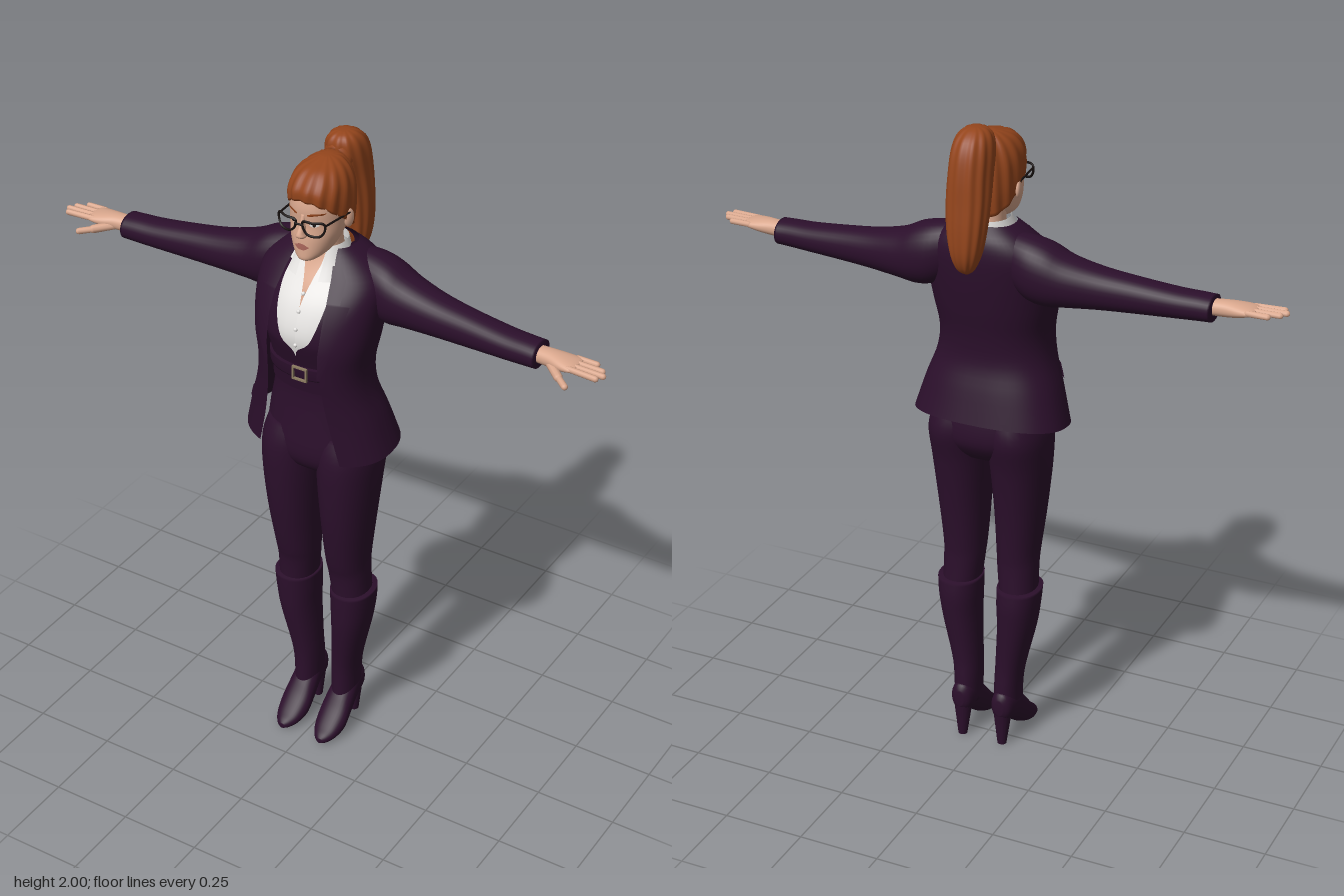
import * as THREE from 'three';

const mat = (name, color, side = THREE.FrontSide) => {
  const m = new THREE.MeshStandardMaterial({ color, side });
  m.name = name;
  return m;
};

// Smoothly subdivide cross-section rows: [along, centreU, radiusU, vFront, vBack, gap, dip]
function smooth(rows, sub = 4) {
  const out = [], n = rows.length;
  const at = (i, k) => rows[Math.min(n - 1, Math.max(0, i))][k] || 0;
  for (let i = 0; i < n - 1; i++) for (let s = 0; s < sub + (i === n - 2 ? 1 : 0); s++) {
    const t = s / sub, r = [];
    for (let k = 0; k < 7; k++) {
      const [a, b, c, d] = [at(i - 1, k), at(i, k), at(i + 1, k), at(i + 2, k)];
      r.push(0.5 * (2 * b + (c - a) * t + (2 * a - 5 * b + 4 * c - d) * t * t + (3 * b - a - 3 * c + d) * t * t * t));
    }
    out.push(r);
  }
  return out;
}

const AXES = { y: (a, u, v) => [u, a, v], x: (a, u, v) => [a, v, u], z: (a, u, v) => [v, u, a] };

function toGeometry(pos, idx) {
  const g = new THREE.BufferGeometry();
  g.setAttribute('position', new THREE.Float32BufferAttribute(pos, 3));
  g.setIndex(idx);
  g.computeVertexNormals();
  return g;
}

// Skin a stack of superellipse rings; open leaves a front gap of half-width row[5]
function loft(rows, { axis = 'y', n = 2.2, seg = 32, open = false, cap = !open, ridges = 0 } = {}) {
  const R = smooth(rows), pos = [], idx = [], cols = open ? seg + 1 : seg, P = AXES[axis];
  for (const [a, cu, ru, vf, vb, gap, dip] of R) {
    const t0 = open ? Math.asin(Math.min(1, Math.pow(Math.max(0, gap) / ru, n / 2))) : 0;
    for (let j = 0; j < cols; j++) {
      const t = t0 + (2 * Math.PI - 2 * t0) * j / seg, s = Math.sin(t), c = Math.cos(t);
      const k = 1 + (ridges ? 0.035 * Math.sin(ridges * t) : 0), e = 2 / n;
      pos.push(...P(a + dip * c, cu + k * ru * Math.sign(s) * Math.abs(s) ** e,
        (vf + vb) / 2 + k * (vf - vb) / 2 * Math.sign(c) * Math.abs(c) ** e));
    }
  }
  for (let i = 0; i < R.length - 1; i++) for (let j = 0; j < seg; j++) {
    const q = (j + 1) % cols, a = i * cols + j, b = i * cols + q;
    idx.push(a, b, b + cols, a, b + cols, a + cols);
  }
  if (cap) for (const [i, flip] of [[0, true], [R.length - 1, false]]) {
    const r = R[i], m = pos.length / 3;
    pos.push(...P(r[0], r[1], (r[3] + r[4]) / 2));
    for (let j = 0; j < seg; j++) {
      const a = i * cols + j, b = i * cols + (j + 1) % cols;
      flip ? idx.push(b, a, m) : idx.push(a, b, m);
    }
  }
  return toGeometry(pos, idx);
}

// Depth of the front of a lofted body at x, y
function frontZ(rows, x, y, n = 2.2) {
  const R = smooth(rows, 8);
  let i = 0;
  while (i < R.length - 2 && R[i + 1][0] < y) i++;
  const t = (y - R[i][0]) / (R[i + 1][0] - R[i][0]);
  const [, , ru, vf, vb] = R[i].map((v, k) => v + (R[i + 1][k] - v) * t);
  const f = Math.max(0, 1 - Math.min(1, Math.abs(x) / ru) ** n) ** (1 / n);
  return (vf + vb) / 2 + (vf - vb) / 2 * f;
}

// Thin panel lying on the front of a body; outline rows are [y, xFrom, xTo]
function patch(body, outline, off, n) {
  const pos = [], idx = [], S = 8;
  for (const [y, a, b] of outline) for (let j = 0; j <= S; j++) {
    const x = a + (b - a) * j / S;
    pos.push(x, y, frontZ(body, x, y, n) + off);
  }
  for (let i = 0; i < outline.length - 1; i++) for (let j = 0; j < S; j++) {
    const a = i * (S + 1) + j;
    idx.push(a, a + 1, a + S + 2, a, a + S + 2, a + S + 1);
  }
  return toGeometry(pos, idx);
}

// Rod between two points
function rod(a, b, r, r2 = r) {
  const A = new THREE.Vector3(...a), B = new THREE.Vector3(...b), d = B.clone().sub(A);
  const g = r === r2 ? new THREE.CapsuleGeometry(r, d.length(), 4, 10) : new THREE.CylinderGeometry(r2, r, d.length(), 14);
  g.applyQuaternion(new THREE.Quaternion().setFromUnitVectors(new THREE.Vector3(0, 1, 0), d.normalize()));
  return g.translate(...A.add(B).multiplyScalar(0.5).toArray());
}

function mirrored(g) {
  const m = g.clone().scale(-1, 1, 1), ix = m.index.array;
  for (let i = 0; i < ix.length; i += 3) [ix[i], ix[i + 1]] = [ix[i + 1], ix[i]];
  m.computeVertexNormals();
  return m;
}

export function createModel() {
  const group = new THREE.Group();
  const suit = mat('dark plum cloth', 0x2b0f2b, THREE.DoubleSide), hair = mat('auburn hair', 0x94451c, THREE.DoubleSide);
  const skin = mat('skin', 0xd9a78d), shirt = mat('white shirt', 0xe6e4e2, THREE.DoubleSide);
  const black = mat('black frames', 0x17100f), lip = mat('lips', 0xa8655a), metal = mat('belt metal', 0x8a7a60);
  const add = (name, g, m) => { const o = new THREE.Mesh(g, m); o.name = name; group.add(o); return o; };
  const pair = (name, g, m) => { add('left ' + name, g, m); add('right ' + name, mirrored(g), m); };

  // Trousers, boots and heels
  add('trouser seat', loft([[0.97, 0, .12, .09, -.06], [1.0, 0, .155, .125, -.09], [1.05, 0, .178, .142, -.112], [1.15, 0, .168, .135, -.1],
    [1.25, 0, .145, .13, -.07], [1.36, 0, .13, .14, -.06]]), suit);
  pair('trouser leg', loft([[.5, .095, .055, .08, -.055], [.6, .089, .06, .09, -.05], [.66, .088, .063, .105, -.052], [.8, .092, .074, .13, -.066],
    [.95, .094, .086, .145, -.088], [1.05, .093, .09, .145, -.11], [1.12, .085, .08, .125, -.095]]), suit);
  pair('boot shaft', loft([[.11, .067, .038, .06, -.062], [.2, .068, .04, .06, -.058], [.27, .074, .044, .066, -.056], [.4, .091, .056, .085, -.066],
    [.48, .096, .063, .091, -.072], [.535, .098, .066, .093, -.068]]), suit);
  pair('boot foot', loft([[-.072, .135, .025, .08, .054], [-.055, .135, .048, .1, .035], [0, .122, .06, .108, .028], [.05, .08, .056, .113, .022],
    [.09, .047, .041, .116, .02], [.13, .027, .024, .107, .03], [.155, .018, .015, .092, .046], [.166, .014, .008, .078, .06]], { axis: 'z' }), suit);
  pair('boot heel', rod([.067, 0, -.047], [.067, .12, -.042], .014, .03), suit);

  // Chest, shirt and waistcoat
  add('chest and neck', loft([[1.5, 0, .12, .14, -.06], [1.58, 0, .125, .115, -.06], [1.64, 0, .09, .077, -.055], [1.68, 0, .05, .06, -.045],
    [1.72, 0, .044, .058, -.04], [1.78, 0, .045, .06, -.04]]), skin);
  const shirtRows = [[1.3, 0, .12, .135, -.05, 0], [1.4, 0, .13, .165, -.06, 0], [1.47, 0, .145, .176, -.07, 0], [1.55, 0, .15, .152, -.08, 0],
    [1.62, 0, .13, .107, -.075, .014], [1.66, 0, .085, .082, -.06, .026], [1.69, 0, .06, .07, -.05, .03]];
  add('shirt', loft(shirtRows, { open: true }), shirt);
  add('shirt collar', loft([[1.625, 0, .1, .118, -.066, .036], [1.67, 0, .075, .092, -.06, .036], [1.712, 0, .06, .072, -.055, .034]], { open: true }), shirt);
  for (const y of [1.44, 1.49, 1.54, 1.585])
    add('shirt button', new THREE.SphereGeometry(.006, 10, 8).translate(0, y, frontZ(shirtRows, 0, y)), shirt);
  add('waistcoat', loft([[1.27, 0, .145, .14, -.06, 0], [1.35, 0, .138, .155, -.06, 0], [1.42, 0, .145, .178, -.065, .004], [1.46, 0, .154, .184, -.07, .046],
    [1.53, 0, .158, .168, -.08, .07], [1.6, 0, .15, .128, -.08, .078], [1.65, 0, .11, .094, -.07, .07]], { open: true }), suit);

  // Belt and buckle
  add('belt', loft([[1.325, 0, .143, .163, -.064], [1.345, 0, .143, .167, -.064], [1.365, 0, .143, .169, -.064]]), suit);
  for (const s of [-1, 1]) {
    add('buckle side', new THREE.BoxGeometry(.005, .042, .008).translate(.01 + s * .022, 1.346, .17), metal);
    add('buckle bar', new THREE.BoxGeometry(.044, .005, .008).translate(.01, 1.346 + s * .019, .17), metal);
  }

  // Open jacket with lapels, pockets and sleeves
  const jacketRows = [[1.085, 0, .236, .175, -.122, .135, -.022], [1.19, 0, .206, .18, -.097, .108, -.008], [1.28, 0, .176, .19, -.074, .092],
    [1.36, 0, .168, .198, -.076, .086], [1.45, 0, .183, .196, -.092, .088], [1.55, 0, .193, .165, -.106, .09], [1.62, 0, .188, .118, -.11, .082],
    [1.67, 0, .14, .083, -.1, .068], [1.705, 0, .085, .06, -.072, .06]];
  add('jacket', loft(jacketRows, { n: 2.4, seg: 48, open: true }), suit);
  pair('lapel', patch(jacketRows, [[1.36, .082, .09], [1.44, .084, .115], [1.52, .086, .135], [1.58, .084, .145], [1.585, .083, .12],
    [1.64, .074, .115], [1.67, .066, .09]], .007, 2.4), suit);
  pair('pocket flap', patch(jacketRows, [[1.19, .125, .185], [1.215, .118, .178], [1.235, .115, .17]], .008, 2.4), suit);
  pair('sleeve', loft([[.06, -.025, .05, 1.69, 1.56], [.14, -.028, .074, 1.684, 1.5], [.2, -.024, .08, 1.669, 1.485], [.26, -.02, .073, 1.64, 1.49],
    [.35, -.011, .062, 1.617, 1.496], [.45, -.003, .054, 1.603, 1.5], [.57, .005, .05, 1.59, 1.505], [.64, .009, .048, 1.587, 1.508],
    [.68, .01, .048, 1.585, 1.51]], { axis: 'x' }), suit);

  // Hands
  pair('palm', loft([[.66, .012, .026, 1.572, 1.527], [.71, .016, .029, 1.575, 1.528], [.75, .02, .037, 1.573, 1.533], [.785, .022, .04, 1.568, 1.543],
    [.8, .022, .034, 1.563, 1.549]], { axis: 'x' }), skin);
  [[-.01, -.008, .838], [.012, .016, .866], [.032, .037, .878], [.051, .058, .866]].forEach(([z0, z1, x]) =>
    pair('finger', rod([.78, 1.557, z0], [x, 1.557, z1], .0088), skin));
  pair('thumb base', rod([.715, 1.545, .03], [.765, 1.537, .074], .0125), skin);
  pair('thumb', rod([.765, 1.537, .074], [.798, 1.533, .101], .0095), skin);

  // Head and face
  const head = [[1.69, 0, .018, .13, .08], [1.698, 0, .034, .138, .04], [1.72, 0, .054, .138, 0], [1.76, 0, .07, .136, -.03], [1.8, 0, .077, .131, -.048],
    [1.85, 0, .078, .133, -.055], [1.9, 0, .07, .118, -.055], [1.935, 0, .045, .08, -.03]];
  add('head', loft(head), skin);
  add('nose', loft([[1.764, 0, .008, .143, .12], [1.773, 0, .015, .157, .12], [1.784, 0, .011, .156, .12], [1.806, 0, .008, .144, .115],
    [1.835, 0, .007, .134, .115]], { seg: 16 }), skin);
  add('lower lip', patch(head, [[1.729, -.008, .008], [1.734, -.017, .017], [1.739, -.023, .023]], .004), lip);
  add('upper lip', patch(head, [[1.739, -.024, .024], [1.744, -.015, .015], [1.748, -.006, .006]], .005), lip);
  pair('eye', patch(head, [[1.801, .028, .038], [1.804, .021, .045], [1.809, .022, .046], [1.812, .028, .041]], .002), shirt);
  pair('iris', new THREE.SphereGeometry(.0055, 12, 8).scale(1, 1, .5).translate(.033, 1.807, frontZ(head, .033, 1.807) + .002), black);
  pair('eyebrow', patch(head, [[1.834, .016, .026], [1.838, .016, .055], [1.843, .032, .062]], .003), hair);
  pair('ear', new THREE.SphereGeometry(1, 16, 12).scale(.009, .028, .017).rotateY(-.3).translate(.08, 1.797, .022), skin);

  // Glasses
  const rim = new THREE.CatmullRomCurve3([[-.03, .016], [0, .019], [.03, .018], [.032, 0], [.02, -.02], [-.012, -.021], [-.028, -.006]]
    .map(([x, y]) => new THREE.Vector3(.042 + x, 1.808 + y, .151 - Math.max(0, x) * .45)), true);
  pair('glasses rim', new THREE.TubeGeometry(rim, 40, .0035, 6, true), black);
  add('glasses bridge', rod([-.012, 1.814, .153], [.012, 1.814, .153], .003), black);
  pair('glasses arm', rod([.074, 1.82, .137], [.084, 1.815, .02], .003), black);

  // Hair, tie and ponytail
  add('swept back hair', loft([[1.798, 0, .081, .134, -.06, 0, .075], [1.845, 0, .085, .134, -.07, 0, .055], [1.895, 0, .081, .116, -.07, 0, .03],
    [1.933, 0, .064, .09, -.06, 0, .012], [1.955, 0, .038, .055, -.04], [1.963, 0, .012, .02, -.01]], { ridges: 14, seg: 84 }), hair);
  add('hair tie', new THREE.TorusGeometry(.034, .011, 8, 24).rotateX(.35).translate(0, 1.93, -.052), hair);
  add('ponytail', loft([[1.587, 0, .008, -.13, -.15], [1.605, 0, .026, -.115, -.175], [1.65, 0, .044, -.1, -.192], [1.72, 0, .056, -.088, -.194],
    [1.8, 0, .061, -.072, -.188], [1.87, 0, .06, -.052, -.182], [1.93, 0, .058, -.034, -.17], [1.97, 0, .05, -.032, -.15],
    [1.992, 0, .034, -.045, -.122], [2.0, 0, .012, -.068, -.098]], { ridges: 11, seg: 88 }), hair);
  return group;
}
